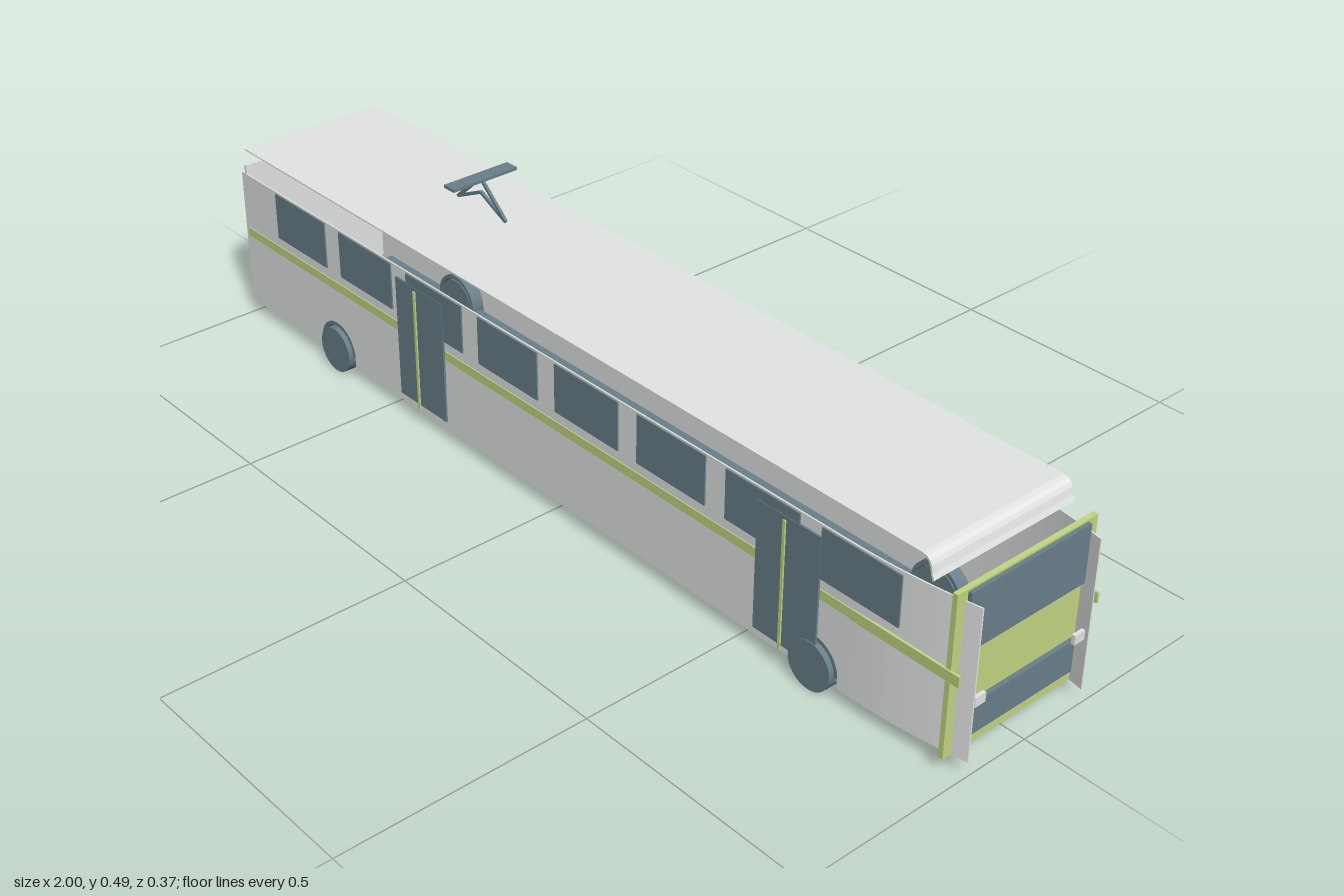
import * as THREE from 'three';

const mat = (name, color) => {
  const m = new THREE.MeshStandardMaterial({ color, side: THREE.DoubleSide });
  m.name = name;
  return m;
};

export function createModel() {
  const grey = mat('pale grey', 0xe4e5e5);
  const slate = mat('slate', 0x6a808a);
  const olive = mat('lime', 0xc4d783);
  const bus = new THREE.Group();
  bus.name = 'bus';

  const add = (name, geometry, material, x = 0, y = 0, z = 0) => {
    const mesh = new THREE.Mesh(geometry, material);
    mesh.name = name;
    mesh.position.set(x, y, z);
    bus.add(mesh);
    return mesh;
  };
  // Box given by its limits on each axis
  const box = (name, material, x0, x1, y0, y1, z0, z1) =>
    add(name, new THREE.BoxGeometry(x1 - x0, y1 - y0, Math.abs(z1 - z0)), material,
      (x0 + x1) / 2, (y0 + y1) / 2, (z0 + z1) / 2);
  const extrude = (shape, depth) =>
    new THREE.ExtrudeGeometry(shape, { depth, bevelEnabled: false, curveSegments: 20 });
  const polygon = pts => new THREE.Shape(pts.map(p => new THREE.Vector2(...p)));

  // Plan line of the inward curving front corner
  const corner = [];
  for (let i = 0; i <= 12; i++) {
    const t = i / 12;
    corner.push([0.75 + 0.25 * t, 0.165 - 0.025 * t * t]);
  }
  const thick = 0.003;

  for (const s of [1, -1]) {
    // Flat side wall with wheel cutouts
    const wall = new THREE.Shape();
    wall.moveTo(-1, 0.03);
    for (const x of [-0.68, 0.68]) {
      wall.lineTo(x - 0.058, 0.03);
      wall.absarc(x, 0.05, 0.058, Math.PI, 0, true);
      wall.lineTo(x + 0.058, 0.03);
    }
    wall.lineTo(0.75, 0.03);
    wall.lineTo(0.75, 0.33);
    wall.lineTo(-1, 0.33);
    add('sideWall', extrude(wall, thick), grey, 0, 0, s > 0 ? 0.165 - thick : -0.165);

    // Curved front part of the side wall
    const inner = corner.map(([x, z]) => [x, z - thick]).reverse();
    const curved = extrude(polygon([...corner, ...inner].map(([x, z]) => [x, s * z])), 0.3);
    curved.rotateX(-Math.PI / 2);
    add('frontSideWall', curved, grey, 0, 0.03);

    // Side windows
    for (let i = 0; i < 8; i++) {
      const x = -0.868 + i * 0.2227;
      box('sideWindow', slate, x, x + 0.173, 0.23, 0.33, s * 0.168, s * 0.171);
    }

    // Doors, flush with the windows, with a centre strip standing off
    for (const x of [-0.382, 0.618]) {
      box('door', slate, x - 0.073, x + 0.073, 0.05, 0.31, s * 0.168, s * 0.172);
      box('doorStrip', olive, x - 0.003, x + 0.003, 0.05, 0.31, s * 0.18, s * 0.183);
    }

    // Waist stripe
    box('waistStripe', olive, -0.99, 0.76, 0.187, 0.206, s * 0.163, s * 0.167);
    box('frontWaistStripe', olive, 0.76, 0.99, 0.186, 0.207, s * 0.163, s * 0.168);

    // Wheels and their arches
    for (const x of [-0.68, 0.68]) {
      const wheel = new THREE.CylinderGeometry(0.0485, 0.0485, 0.039, 32);
      wheel.rotateX(Math.PI / 2);
      add('wheel', wheel, slate, x, 0.0485, s * 0.1545);
      const arch = new THREE.Shape();
      arch.absarc(0, 0, 0.058, 0, Math.PI, false);
      arch.absarc(0, 0, 0.05, Math.PI, 0, true);
      add('wheelArch', extrude(arch, 0.03), slate, x, 0.05, s > 0 ? 0.135 : -0.165);
    }

    // Lamps
    box('headlight', grey, 0.99, 0.997, 0.133, 0.152, s * 0.107, s * 0.132);
    box('rearLight', slate, -1, -0.992, 0.08, 0.1, s * 0.108, s * 0.135);
  }

  // Floor following the narrowing front
  const edge = corner.filter(([x]) => x < 0.965).map(([x, z]) => [x, z - thick]);
  const right = edge.map(([x, z]) => [x, -z]).reverse();
  const floor = extrude(polygon([[-0.95, 0.162], ...edge, ...right, [-0.95, -0.162]]), 0.003);
  floor.rotateX(-Math.PI / 2);
  add('floor', floor, slate, 0, 0.037);

  // End panels
  box('rearPanel', grey, -0.988, -0.982, 0.03, 0.35, -0.165, 0.165);
  box('frontPanel', olive, 0.96, 0.97, 0.03, 0.35, -0.165, 0.165);
  box('windscreen', slate, 0.97, 0.978, 0.231, 0.346, -0.141, 0.141);
  box('lowerGrille', slate, 0.97, 0.979, 0.057, 0.121, -0.133, 0.133);

  // Thin roof sheet with a rounded front lip
  const line = [[-0.98, 0.389], [0.895, 0.389], [0.905, 0.387], [0.911, 0.382],
    [0.915, 0.374], [0.918, 0.36], [0.922, 0.35]];
  const under = line.map(([x, y]) => [x - 0.003, y - 0.003]).reverse();
  under[under.length - 1][0] = -0.98;
  add('roof', extrude(polygon([...line, ...under]), 0.33), grey, 0, 0, -0.165);

  // Current collector: two chevrons and a cross bar
  const arm = (x0, y0, x1, y1) => {
    const length = Math.hypot(x1 - x0, y1 - y0);
    const m = add('collectorArm', new THREE.BoxGeometry(length, 0.006, 0.006), slate,
      (x0 + x1) / 2, (y0 + y1) / 2);
    m.rotation.z = Math.atan2(y1 - y0, x1 - x0);
  };
  for (const s of [1, -1]) {
    arm(-0.4 + s * 0.074, 0.42, -0.4, 0.485);
    arm(-0.4 + s * 0.074, 0.42, -0.4, 0.455);
  }
  box('collectorBar', slate, -0.415, -0.385, 0.483, 0.489, -0.076, 0.076);

  return bus;
}
